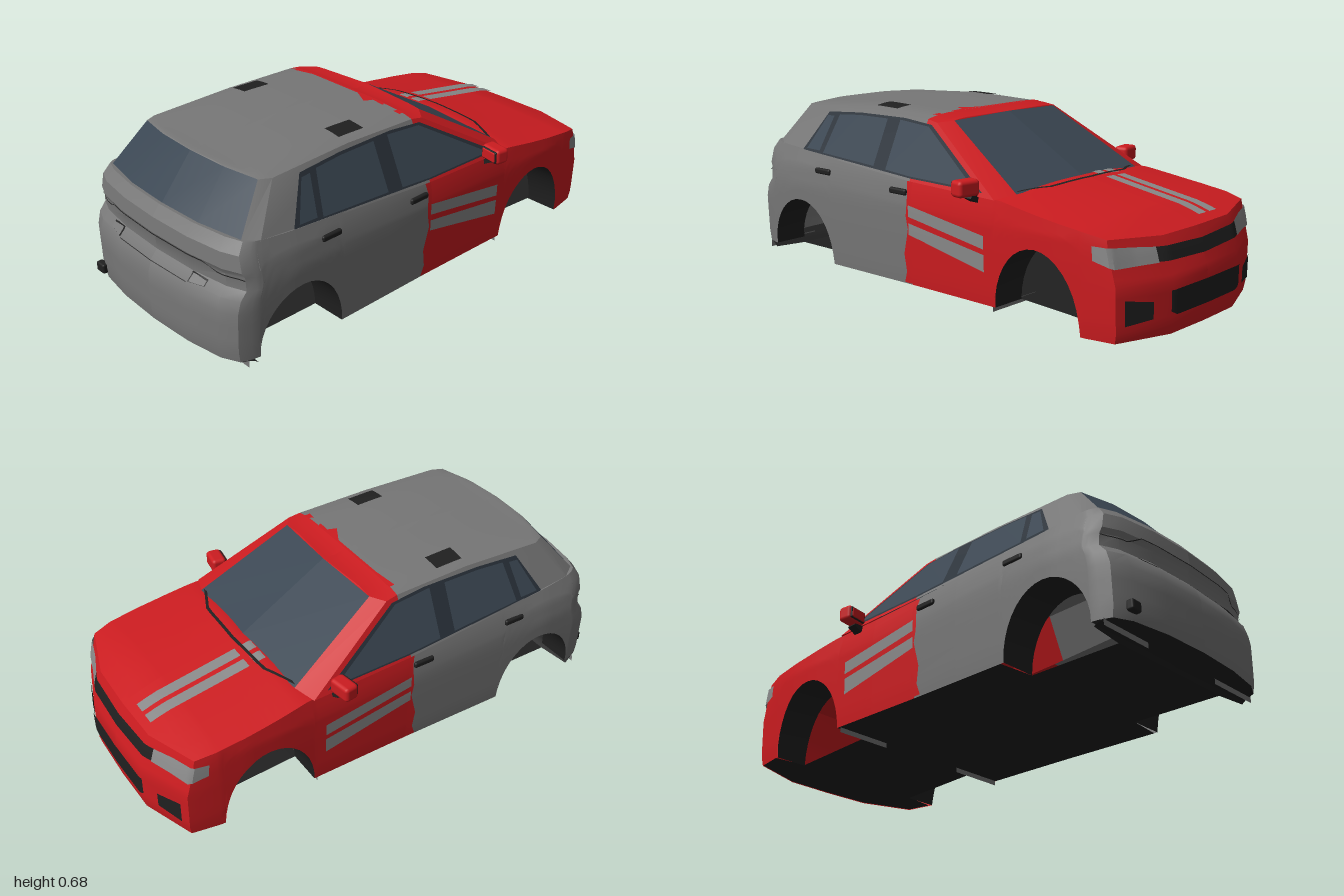
import * as THREE from 'three';
import { toCreasedNormals } from 'three/addons/utils/BufferGeometryUtils.js';
import { RoundedBoxGeometry } from 'three/addons/geometries/RoundedBoxGeometry.js';

const RED = 0xcc1c20, GREY = 0x777777, PALE = 0x8a8a8a, GLASS = 0x3a4652, TRIM = 0x2a323a, DARK = 0x202020;
const clamp = THREE.MathUtils.clamp;

// Piecewise linear lookup through [input, output] knots
function interp(knots, v) {
  if (v <= knots[0][0]) return knots[0][1];
  for (let i = 1; i < knots.length; i++) {
    const [a, p] = knots[i - 1], [b, q] = knots[i];
    if (v <= b) return p + (q - p) * (v - a) / (b - a);
  }
  return knots[knots.length - 1][1];
}
const range = (n, a, b) => Array.from({ length: n + 1 }, (_, i) => a + (b - a) * i / n);

// Body rules: plan half width, shoulder height, lower edge, width and end slope by height
const planX = v => interp([[-0.915, 0.432], [-0.8, 0.452], [-0.68, 0.46], [-0.55, 0.46], [-0.4, 0.455], [0, 0.452],
  [0.5, 0.458], [0.7, 0.46], [0.86, 0.452], [0.89, 0.447]], v);
const shoulder = v => interp([[-1, 0.345], [-0.9, 0.36], [-0.6, 0.4], [-0.43, 0.425], [0, 0.44],
  [0.65, 0.48], [0.84, 0.495], [1, 0.505]], v);
const base = v => interp([[-0.78, 0.005], [-0.4, 0.03], [0.48, 0.03], [0.86, 0.055]], v);
const floorY = v => interp([[-0.78, 0.008], [-0.4, 0.03], [0.86, 0.03], [0.9, 0.055]], v);
const widthAt = y => interp([[0, 0.445], [0.06, 0.452], [0.25, 0.46], [0.34, 0.462], [0.42, 0.452], [0.5, 0.425]], y);
const frontInset = y => interp([[0, 0.01], [0.03, 0], [0.2, 0], [0.25, 0.018], [0.3, 0.032], [0.35, 0.05]], y);
const rearInset = y => interp([[0.05, 0.008], [0.1, 0], [0.25, 0], [0.3, 0.015], [0.33, 0.045], [0.38, 0.045],
  [0.4, 0.033], [0.46, 0.035], [0.505, 0.07]], y);
const crown = z => interp([[-0.95, 0], [-0.85, 0.02], [-0.6, 0.03], [-0.45, 0.035], [-0.3, 0]], z);
const hoodY = (x, z) => shoulder(z) + crown(z) * (1 - (x / 0.45) ** 2);
const roofCrown = z => interp([[-0.07, 0.008], [0.03, 0.017], [0.35, 0.0215], [0.7, 0.013], [0.78, 0.004]], z);
const roofEdge = z => interp([[-0.06, 0.657], [0.03, 0.66], [0.35, 0.667], [0.7, 0.655]], z);
const roofY = (x, z) => roofEdge(z) + roofCrown(z) * (1 - (x / 0.345) ** 6);

// Wheel arches
const arches = [[-0.59, 0.28], [0.67, 0.275]], R = 0.19;
const archAt = v => arches.find(([c]) => Math.abs(v - c) <= R + 1e-6);
function lowerEdge(v) {
  const a = archAt(v);
  if (!a) return base(v);
  return base(v) + (a[1] - base(v)) * Math.sqrt(Math.max(0, 1 - ((v - a[0]) / R) ** 2));
}

// A point on the body wall from plan position and height
function wallPoint(x, v, y) {
  const inset = v < 0 ? frontInset(y) : rearInset(y);
  const k = clamp((Math.abs(v) - 0.8) / 0.15, 0, 1);
  return [x / 0.46 * widthAt(y), y, v - Math.sign(v) * inset * k];
}

export function createModel() {
  const car = new THREE.Group();
  car.name = 'carBody';
  const mats = {};
  const mat = c => mats[c] ??= new THREE.MeshStandardMaterial({ color: c, side: THREE.DoubleSide });
  const add = (name, geo, color) => {
    const m = new THREE.Mesh(geo, mat(color));
    m.name = name;
    car.add(m);
    return m;
  };

  // Surface through rows of points
  function sheet(name, rows, color) {
    const n = rows[0].length, idx = [];
    for (let i = 0; i < rows.length - 1; i++) for (let j = 0; j < n - 1; j++) {
      const a = i * n + j, b = a + n;
      idx.push(a, b, a + 1, b, b + 1, a + 1);
    }
    const g = new THREE.BufferGeometry();
    g.setAttribute('position', new THREE.Float32BufferAttribute(rows.flat(2), 3));
    g.setIndex(idx);
    add(name, toCreasedNormals(g, 0.45), color);
  }
  const flip = rows => rows.map(r => r.map(([x, y, z]) => [-x, y, z]).reverse());
  function pair(name, rows, color) {
    sheet(name + 'Left', rows, color);
    sheet(name + 'Right', flip(rows), color);
  }

  // Half outline of the body in plan, nose to tail
  const nose = [[0, -1], [0.21, -0.995], [0.432, -0.915], [0.452, -0.8]];
  const tail = [[0, 1], [0.2, 0.992], [0.36, 0.968], [0.43, 0.935], [0.447, 0.89]];
  const side = v => [planX(v), v];
  const archPts = c => range(18, 0, Math.PI).map(t => side(c - R * Math.cos(t)));
  const outline = [...nose, ...archPts(-0.59), side(-0.385), side(-0.2), side(0.03), side(0.25), side(0.465),
    ...archPts(0.67), side(0.87), ...tail.toReversed()];
  const split = outline.findIndex(p => p[1] === 0.03);
  const levels = [0, 0.1, 0.2, 0.32, 0.44, 0.55, 0.62, 0.73, 0.775, 0.91, 1];
  const wall = outline.map(([x, v]) => levels.map(t =>
    wallPoint(x, v, lowerEdge(v) + (shoulder(v) - lowerEdge(v)) * t)));
  pair('frontBodySide', wall.slice(0, split + 1), RED);
  pair('rearBodySide', wall.slice(split), GREY);

  // Bonnet and rear deck, left open below the cabin
  const deck = wall.map((col, i) => {
    const [x, y, z] = col[col.length - 1], v = outline[i][1];
    const reach = v > -0.3 && v < 0.86 ? 0.15 : 1;
    return range(6, 0, reach).map(t => [x * (1 - t), y + crown(z) * (1 - (1 - t) ** 2), z]);
  });
  pair('bonnet', deck.slice(0, split + 1), RED);
  pair('rearDeck', deck.slice(split), GREY);

  // Floor with wheel cut-outs, arch liners, and small plates hanging at the arch edges
  const inner = 0.3;
  pair('floor', outline.map(([x, v], i) => {
    const [px, , pz] = wall[i][0], y = floorY(v);
    return [[archAt(v) ? inner : px, y, pz], [0, y, pz]];
  }), DARK);
  for (const [c] of arches)
    pair(c < 0 ? 'frontArchLiner' : 'rearArchLiner', archPts(c).map(([x, v]) => {
      const [px, y, z] = wallPoint(x, v, lowerEdge(v));
      return [[px, y, z], [inner, y, z]];
    }), DARK);
  for (const [z, y0, y1] of [[-0.385, 0.01, 0.032], [0.905, 0.03, 0.056]])
    pair('underbodyPlate', [0.2, 0.44].map(x => [[x, y0, z], [x, y1, z]]), GREY);

  // Cabin: lower and upper half outlines joined by pillars, glass and sides
  const cabinX = y => 0.432 - 0.46 * (y - 0.47);
  const sidePt = (y, z) => [cabinX(y), y, z];
  const low = [[0, 0.45, -0.45], [0.365, 0.437, -0.43], sidePt(0.425, -0.4), sidePt(0.435, 0.03),
    sidePt(0.462, 0.45), sidePt(0.49, 0.82), [0.385, 0.5, 0.872], [0.2, 0.505, 0.91], [0, 0.505, 0.918]];
  const high = [[0, 0.667, -0.075], [0.295, 0.658, -0.06], sidePt(0.652, -0.02), sidePt(0.66, 0.03),
    sidePt(0.667, 0.35), sidePt(0.655, 0.7), [0.325, 0.657, 0.745], [0.18, 0.662, 0.775], [0, 0.664, 0.785]];
  const band = (a, b) => range(b - a, a, b).map(i => [low[i], high[i]]);
  pair('windscreen', band(0, 1), GLASS);
  pair('frontPillar', band(1, 3), RED);
  pair('cabinSide', band(3, 6), GREY);
  pair('rearWindow', band(6, 8), GLASS);
  const roof = high.map(([x, y, z]) => range(10, 0, 1).map(t =>
    [x * (1 - t), y + (x ? roofCrown(z) : 0) * (1 - (1 - t) ** 6), z]));
  pair('roofFront', roof.slice(0, 4), RED);
  pair('roofRear', roof.slice(3), GREY);

  // Ragged edge of the red paint on the roof and doors
  const roofRag = [[-0.3, 0.05], [-0.2, 0.035], [0.06, 0.035], [0.135, 0.075], [0.15, 0.04], [0.3, 0.05]];
  sheet('roofPaintEdge', roofRag.map(([x, z]) => [0.025, z].map(q => [x, roofY(x, q) + 0.002, q])), RED);
  const doorRag = [[0.435, 0.05], [0.39, 0.04], [0.3, 0.045], [0.25, 0.035], [0.15, 0.06], [0.08, 0.05], [0.035, 0.065]];
  pair('doorPaintEdge', doorRag.map(([y, z]) => [0.02, z].map(q => [planX(q) / 0.46 * widthAt(y) + 0.003, y, q])), RED);

  // Side windows: flat outlines given as z, y and laid on the sloping cabin side
  function sidePane(name, pts, color, lift) {
    for (const s of [1, -1]) {
      const g = new THREE.ShapeGeometry(new THREE.Shape(pts.map(p => new THREE.Vector2(...p))));
      const p = g.attributes.position;
      for (let i = 0; i < p.count; i++) {
        const z = p.getX(i), y = p.getY(i);
        p.setXYZ(i, s * (cabinX(y) + lift), y, z);
      }
      g.computeVertexNormals();
      add(name + (s > 0 ? 'Left' : 'Right'), g, color);
    }
  }
  sidePane('windowTrim', [[0.68, 0.482], [0.59, 0.64], [0.4, 0.652], [0.15, 0.654], [0, 0.642], [-0.34, 0.442], [0.03, 0.446]], TRIM, 0.003);
  sidePane('frontDoorWindow', [[0.17, 0.462], [0.17, 0.646], [0.01, 0.635], [-0.3, 0.45], [0.03, 0.453]], GLASS, 0.006);
  sidePane('rearDoorWindow', [[0.55, 0.482], [0.52, 0.635], [0.4, 0.643], [0.24, 0.644], [0.24, 0.467]], GLASS, 0.006);
  sidePane('quarterWindow', [[0.655, 0.49], [0.59, 0.625], [0.55, 0.628], [0.575, 0.488]], GLASS, 0.006);

  // Panels laid on the nose or tail, bounded by lower and upper heights along x
  function endPanel(name, plan, lower, upper, color, lift = 0.007) {
    const x0 = lower[0][0], x1 = lower[lower.length - 1][0];
    pair(name, range(16, x0, x1).map(x => range(4, 0, 1).map(t => {
      const y = interp(lower, x) * (1 - t) + interp(upper, x) * t, v = interp(plan, x);
      const [px, py, pz] = wallPoint(x, v, y);
      return [px + lift * x / 0.46, py, pz + Math.sign(v) * lift];
    })), color);
  }
  endPanel('upperGrille', nose, [[0, 0.255], [0.25, 0.265]], [[0, 0.305], [0.25, 0.315]], DARK);
  endPanel('headlight', nose, [[0.25, 0.262], [0.43, 0.262], [0.446, 0.285]], [[0.25, 0.315], [0.43, 0.333], [0.446, 0.335]], PALE);
  endPanel('lowerGrille', nose, [[0, 0.075], [0.19, 0.075], [0.22, 0.09]], [[0, 0.165], [0.22, 0.165]], DARK);
  endPanel('sideIntake', nose, [[0.29, 0.075], [0.4, 0.065]], [[0.29, 0.135], [0.4, 0.155]], DARK);
  endPanel('tailgateCrease', tail, [[0, 0.4], [0.28, 0.4], [0.31, 0.373], [0.43, 0.371]],
    [[0, 0.404], [0.28, 0.404], [0.31, 0.377], [0.43, 0.375]], DARK, 0.004);
  endPanel('plateRecessLine', tail, [[0, 0.3], [0.2, 0.3]], [[0, 0.302], [0.2, 0.302]], DARK, 0.004);
  endPanel('reflectorRim', tail, [[0.205, 0.303], [0.28, 0.309]], [[0.215, 0.335], [0.27, 0.329]], DARK, 0.004);
  endPanel('reflector', tail, [[0.21, 0.306], [0.276, 0.311]], [[0.218, 0.331], [0.268, 0.326]], GREY);

  // Door stripes
  const stripe = (lo0, hi0, lo1, hi1) => range(6, 0, 1).map(t => {
    const z = 0.03 - 0.385 * t, a = lo0 + (lo1 - lo0) * t, b = hi0 + (hi1 - hi0) * t;
    return range(4, a, b).map(y => [planX(z) / 0.46 * widthAt(y) + 0.005, y, z]);
  });
  pair('upperDoorStripe', stripe(0.3, 0.345, 0.24, 0.29), PALE);
  pair('lowerDoorStripe', stripe(0.23, 0.275, 0.155, 0.22), PALE);

  // Bonnet stripes and scuttle line
  for (const [x0, x1] of [[-0.177, -0.13], [-0.108, -0.06]])
    for (const [z0, z1] of [[-0.92, -0.51], [-0.485, -0.44]])
      sheet('bonnetStripe', range(10, z0, z1).map(z => range(2, x0, x1).map(x => [x, hoodY(x, z) + 0.005, z])), PALE);
  pair('scuttleLine', range(8, 0, 0.36).map(x => {
    const z = interp([[0, -0.492], [0.22, -0.482], [0.36, -0.42]], x);
    return [z, z + 0.012].map(q => [x, hoodY(x, q) + 0.007, q]);
  }), DARK);

  // Roof hatches
  pair('roofHatch', range(3, 0.24, 0.36).map(z => range(3, 0.23, 0.305).map(x => [x, roofY(x, z) + 0.003, z])), DARK);

  // Door handles and mirrors
  for (const s of [1, -1]) {
    for (const [z, y] of [[0.09, 0.39], [0.53, 0.41]])
      add('doorHandle', new RoundedBoxGeometry(0.022, 0.024, 0.09, 2, 0.008), DARK).position.set(s * 0.449, y, z);
    const mirror = new THREE.Group();
    mirror.name = 'mirror';
    mirror.position.set(s * 0.487, 0.461, -0.295);
    mirror.rotation.y = -s * 0.15;
    const shell = add('mirrorShell', new RoundedBoxGeometry(0.095, 0.062, 0.06, 2, 0.015), RED);
    const rim = add('mirrorRim', new RoundedBoxGeometry(0.08, 0.048, 0.012, 2, 0.005), DARK);
    const face = add('mirrorFace', new RoundedBoxGeometry(0.072, 0.041, 0.012, 2, 0.005), RED);
    rim.position.z = 0.028;
    face.position.z = 0.031;
    mirror.add(shell, rim, face);
    car.add(mirror);
    const arm = add('mirrorArm', new THREE.BoxGeometry(0.05, 0.03, 0.04), DARK);
    arm.position.set(s * 0.455, 0.425, -0.3);
    arm.rotation.z = s * 0.5;
  }

  // Tow eye cover on the rear bumper
  add('towEyeCover', new RoundedBoxGeometry(0.05, 0.04, 0.03, 2, 0.008), DARK).position.set(-0.365, 0.1, 0.972);
  return car;
}
